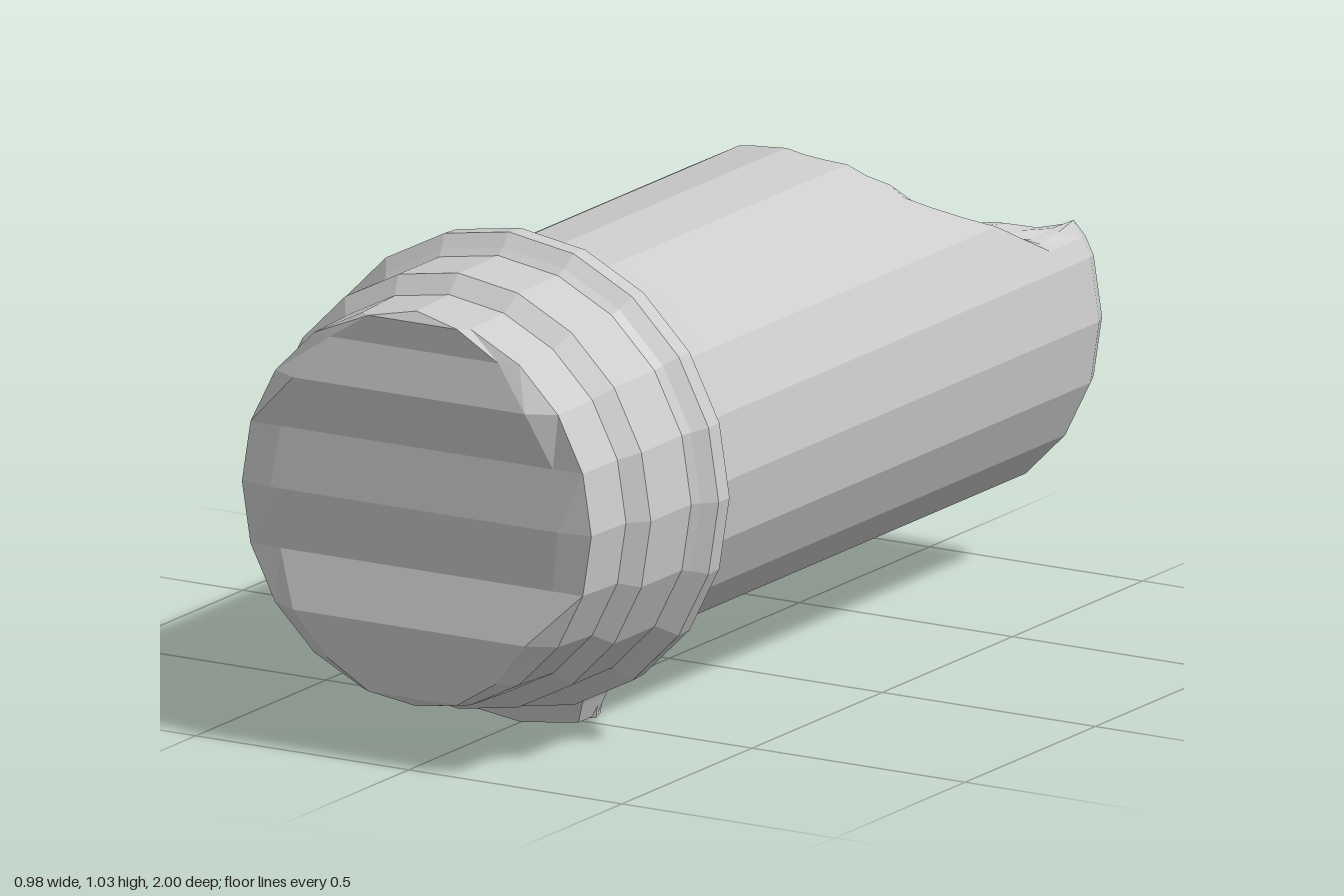
import * as THREE from 'three';

const CY = 0.535;   // height of the tube axis
const SIDES = 20;

// Skin a list of point rows; wrap joins the last point of a row to the first
function skin(name, rows, wrap, material) {
  const n = rows[0].length;
  const index = [];
  for (let i = 0; i < rows.length - 1; i++) {
    for (let j = 0; j < (wrap ? n : n - 1); j++) {
      const a = i * n + j, b = i * n + (j + 1) % n;
      index.push(a, b, b + n, a, b + n, a + n);
    }
  }
  const geo = new THREE.BufferGeometry();
  geo.setAttribute('position', new THREE.Float32BufferAttribute(rows.flat(2), 3));
  geo.setIndex(index);
  geo.computeVertexNormals();
  const mesh = new THREE.Mesh(geo, material);
  mesh.name = name;
  return mesh;
}

// Regular polygon around the axis, each side split into `split` pieces
function polygon(r, z, split = 1) {
  const pts = [];
  for (let k = 0; k < SIDES; k++) {
    const a = k / SIDES * Math.PI * 2, b = (k + 1) / SIDES * Math.PI * 2;
    for (let s = 0; s < split; s++) {
      const t = s / split;
      pts.push([
        r * THREE.MathUtils.lerp(Math.sin(a), Math.sin(b), t),
        CY + r * THREE.MathUtils.lerp(Math.cos(a), Math.cos(b), t), z]);
    }
  }
  return pts;
}

// Height of the broken surface, tilted down towards -x and the back
function breakHeight(x, z) {
  const t = (z + 1) / 0.53;
  return 0.65 + 0.19 * x + 0.2 * t * t
    + 0.025 * Math.sin(13 * x + 2) * Math.sin(17 * z)
    + 0.012 * Math.sin(31 * x + 23 * z);
}

export function createModel() {
  const model = new THREE.Group();
  const mat = new THREE.MeshStandardMaterial({
    color: 0xcccccc, flatShading: true, side: THREE.DoubleSide });

  // Tube with its upper rear broken away and a recessed end
  const stations = [
    [0.425, 0.5], [0.42, 0.42], [0.42, -0.465], [0.42, -0.49], [0.42, -0.56],
    [0.42, -0.63], [0.42, -0.7], [0.42, -0.77], [0.42, -0.84], [0.42, -0.91],
    [0.42, -0.965], [0.405, -1], [0.365, -1], [0.36, -0.965], [0, -0.965]];
  const tubeRows = stations.map(([r, z], i) => polygon(r, z, 3).map(([x, y]) => {
    const jag = i === 2 || i === 3 ? 0.018 * Math.sin(19 * x + 1) : 0;
    if (i < 3) return [x, y, z + jag];
    const h = breakHeight(x, Math.max(z, -0.965));
    return y > h ? [x, h, Math.max(z + jag, -0.965)] : [x, y, z + jag];
  }));
  model.add(skin('brokenTube', tubeRows, true, mat));

  // Stepped collar and flange
  const collar = [
    [0.41, 0.97], [0.415, 0.845], [0.452, 0.81], [0.452, 0.655],
    [0.465, 0.64], [0.492, 0.615], [0.49, 0.57], [0.455, 0.53], [0.42, 0.495]];
  model.add(skin('collar', collar.map(([r, z]) => polygon(r, z)), true, mat));

  // Front face with shallow horizontal ridges, listed from bottom to top
  const ridges = [0.97, 0.985, 0.99, 1, 0.97, 0.98, 0.97, 1, 0.98, 0.985, 0.97];
  const faceRows = ridges.map((z, i) => {
    const a = i / 10 * Math.PI;
    const w = 0.41 * Math.sin(a), y = CY - 0.41 * Math.cos(a);
    return [[-w, y, 0.97], [-0.82 * w, y, z], [0.82 * w, y, z], [w, y, 0.97]];
  });
  model.add(skin('frontFace', faceRows, false, mat));

  // Foot under the flange: a tapered bar with a lug at each end
  const foot = new THREE.Group();
  foot.name = 'foot';
  const bar = new THREE.Shape([
    [-0.2, 0.14], [-0.155, 0.065], [-0.14, 0.022], [0, 0], [0.14, 0.02],
    [0.16, 0.065], [0.2, 0.14]].map(p => new THREE.Vector2(...p)));
  const barGeo = new THREE.ExtrudeGeometry(bar, { depth: 0.07, bevelEnabled: false });
  barGeo.translate(0, 0, 0.505);
  // lean the front of the bar forward into the flange
  const p = barGeo.attributes.position;
  for (let i = 0; i < p.count; i++) {
    if (p.getZ(i) > 0.55) p.setZ(i, 0.57 + 0.4 * p.getY(i));
  }
  barGeo.computeVertexNormals();
  const barMesh = new THREE.Mesh(barGeo, mat);
  barMesh.name = 'footBar';
  foot.add(barMesh);
  for (const s of [-1, 1]) {
    const lug = new THREE.Mesh(new THREE.CylinderGeometry(0.05, 0.032, 0.09, 5), mat);
    lug.position.set(s * 0.115, 0.062, 0.51);
    lug.name = 'footLug';
    foot.add(lug);
  }
  model.add(foot);

  return model;
}
